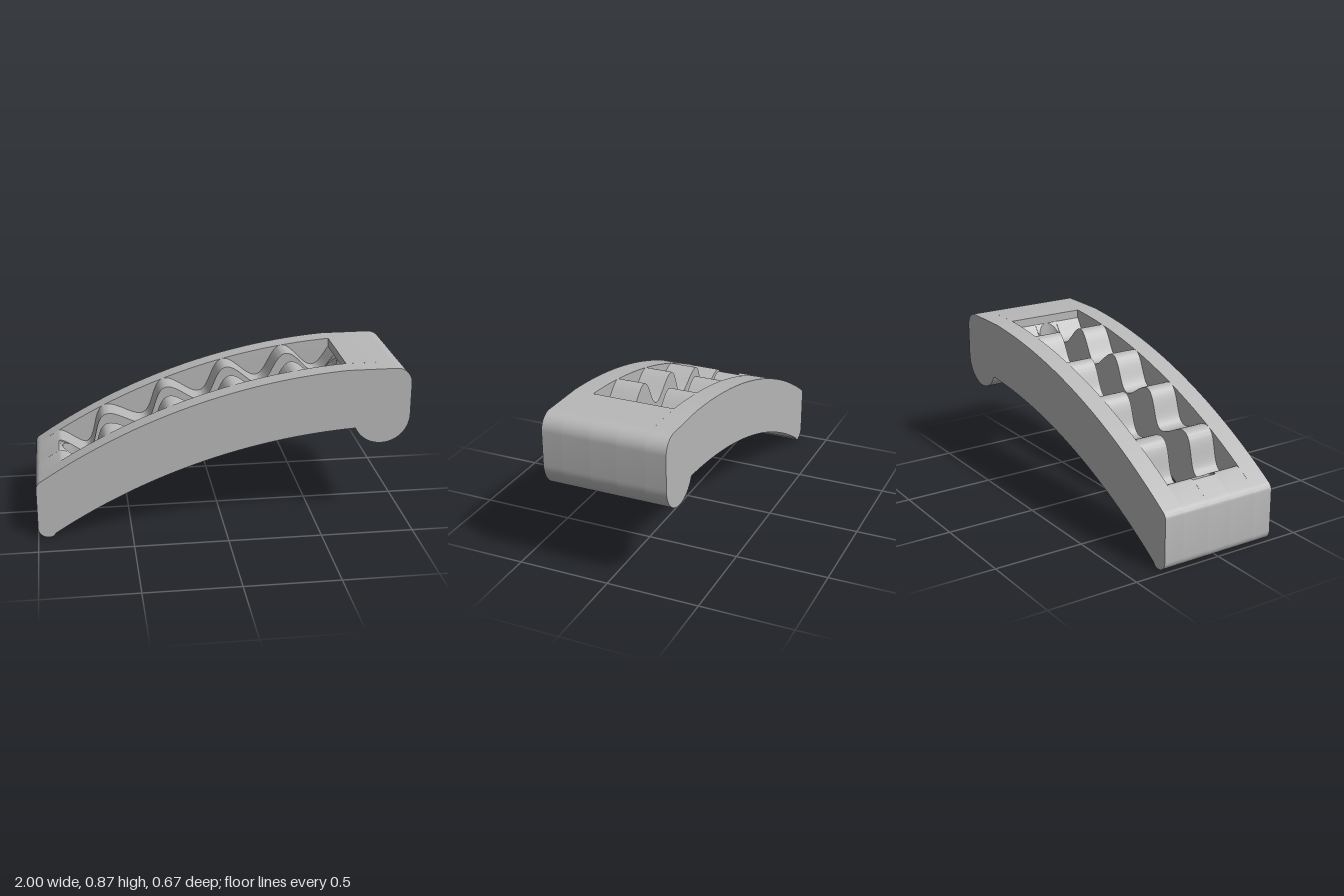
import * as THREE from 'three';
import { toCreasedNormals } from 'three/addons/utils/BufferGeometryUtils.js';

const HALF = 0.333, POCKET = 0.222, SLOT = 0.07;   // half widths in z
const X0 = -0.87, X1 = 0.665;                      // pocket ends
const CX = 0.872;                                  // centre of the long arcs

const topY = (x) => (x > 0.65 ? 0.868 : -2.487 + Math.sqrt(3.362 ** 2 - (x - CX) ** 2));
const bottomY = (x) => -2.743 + Math.sqrt(3.288 ** 2 - (x - CX) ** 2);
const v = (x, y) => new THREE.Vector2(x, y);

// Points along y = f(x)
function along(f, a, b, n) {
  return Array.from({ length: n + 1 }, (_, i) => {
    const x = a + ((b - a) * i) / n;
    return v(x, f(x));
  });
}

// Points on a circular arc, angles in degrees
function arc(cx, cy, r, a, b, n) {
  return Array.from({ length: n + 1 }, (_, i) => {
    const t = ((a + ((b - a) * i) / n) * Math.PI) / 180;
    return v(cx + r * Math.cos(t), cy + r * Math.sin(t));
  });
}

// Wavy pocket floor: crests flush with the top arc, troughs cut along its normal
const wave = along(topY, X0, 0.72, 220).map((p) => {
  const phase = p.x < -0.78 ? (Math.PI * (p.x - X0)) / 0.09 : Math.PI + (2 * Math.PI * (p.x + 0.78)) / 0.335;
  const d = 0.07 * (1 - Math.cos(phase));
  const s = (CX - p.x) / 3.362;
  return v(p.x + s * d, p.y - Math.sqrt(1 - s * s) * d);
});
function floorY(x) {
  const i = Math.max(1, wave.findIndex((p) => p.x >= x));
  const a = wave[i - 1], b = wave[i];
  return a.y + ((b.y - a.y) * (x - a.x)) / (b.x - a.x);
}

// Rounded low end and the high end with its foot, both clockwise
const lowEnd = [
  ...arc(-0.945, 0.055, 0.055, -55, -180, 12),
  ...new THREE.QuadraticBezierCurve(v(-1, 0.285), v(-1, 0.309), v(-0.967, topY(-0.967))).getPoints(6),
];
const highEnd = [
  ...arc(0.915, 0.783, 0.085, 90, 0, 10),
  ...arc(0.845, 0.605, 0.155, 0, -156, 24),
];

function slab(points, z0, z1) {
  const g = new THREE.ExtrudeGeometry(new THREE.Shape(points), { depth: z1 - z0, bevelEnabled: false });
  return toCreasedNormals(g.translate(0, 0, z0), 0.6);
}

// Fills between a pocket end and the rounded end of the slot
function slotEnd(xEnd, xCentre, dir) {
  const outline = [v(xEnd, -SLOT), ...arc(xCentre, 0, SLOT, -90, dir < 0 ? -270 : 90, 24), v(xEnd, SLOT)];
  const g = new THREE.ExtrudeGeometry(new THREE.Shape(outline), { depth: 1, bevelEnabled: false });
  g.rotateX(-Math.PI / 2);
  const p = g.attributes.position;
  for (let i = 0; i < p.count; i++) {
    const x = p.getX(i);
    p.setY(i, p.getY(i) > 0.5 ? floorY(x) : bottomY(x));
  }
  return toCreasedNormals(g, 0.6);
}

export function createModel() {
  const group = new THREE.Group();
  const grey = new THREE.MeshStandardMaterial({ color: 0xb8b8b8 });
  grey.name = 'plain grey';
  const add = (name, geometry) => {
    const mesh = new THREE.Mesh(geometry, grey);
    mesh.name = name;
    group.add(mesh);
  };

  const underside = along(bottomY, 0.69, -0.91, 60);
  const solid = [...lowEnd, ...along(topY, -0.96, 0.65, 60), ...highEnd, ...underside];
  const wavy = [
    ...lowEnd, v(X0, topY(X0)),
    v(X0, floorY(X0) - 0.0005),
    ...wave.filter((p) => p.x > X0 + 0.001 && p.x < X1 - 0.001),
    v(X1, floorY(X1)), v(X1, topY(X1)),
    ...highEnd, ...underside,
  ];

  // Solid side walls and wavy ledges beside the slot
  for (const [side, s] of [['left', 1], ['right', -1]]) {
    const span = (a, b) => (s > 0 ? [a, b] : [-b, -a]);
    add(side === 'left' ? 'frontWall' : 'backWall', slab(solid, ...span(POCKET, HALF)));
    add(side === 'left' ? 'frontWavyLedge' : 'backWavyLedge', slab(wavy, ...span(SLOT, POCKET)));
  }

  // Solid ends in line with the slot
  add('lowEndBlock', slab([...lowEnd, ...along(topY, -0.96, X0, 6), ...along(bottomY, X0, -0.91, 4)], -SLOT, SLOT));
  add('highEndBlock', slab([v(X1, topY(X1)), ...highEnd, v(0.69, bottomY(0.69)), v(X1, bottomY(X1))], -SLOT, SLOT));

  // Rounded slot ends
  add('lowSlotEnd', slotEnd(X0, -0.78, -1));
  add('highSlotEnd', slotEnd(X1 + 0.003, X1 - SLOT, 1));
  return group;
}
